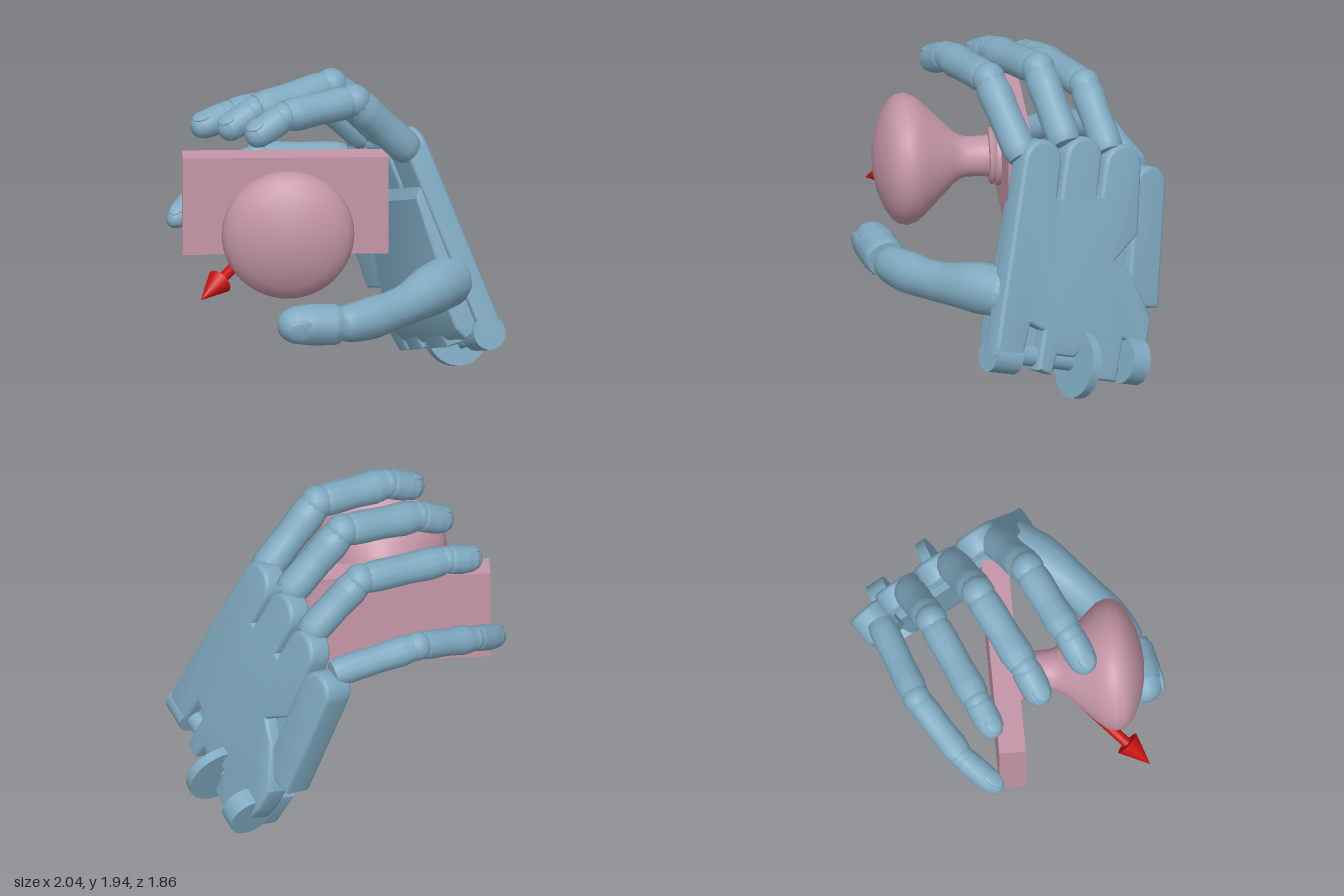
import * as THREE from 'three';
import { toCreasedNormals } from 'three/addons/utils/BufferGeometryUtils.js';

const blue = new THREE.MeshStandardMaterial({ color: 0x7fa9c0 });
const pink = new THREE.MeshStandardMaterial({ color: 0xc495a6 });
const red = new THREE.MeshStandardMaterial({ color: 0xc81010 });
const V3 = (p) => new THREE.Vector3(...p);

function add(parent, name, geometry, material, pos = [0, 0, 0]) {
  const mesh = new THREE.Mesh(geometry, material);
  mesh.name = name;
  mesh.position.set(...pos);
  parent.add(mesh);
  return mesh;
}

// Rounded limb along a path, its radius following a list of [t, radius]
function limbGeometry(points, profile, rings = 28, sides = 12) {
  const path = points.length > 2 ? new THREE.CatmullRomCurve3(points.map(V3))
    : new THREE.LineCurve3(V3(points[0]), V3(points[1]));
  const geo = new THREE.TubeGeometry(path, rings, 1, sides);
  const pos = geo.attributes.position, v = new THREE.Vector3();
  for (let i = 0; i <= rings; i++) {
    const t = i / rings, c = path.getPointAt(t);
    let k = 1;
    while (k < profile.length - 1 && profile[k][0] < t) k++;
    const [t0, r0] = profile[k - 1], [t1, r1] = profile[k];
    const r = THREE.MathUtils.lerp(r0, r1, (t - t0) / (t1 - t0));
    for (let j = 0; j <= sides; j++) {
      const n = i * (sides + 1) + j;
      v.fromBufferAttribute(pos, n).sub(c).multiplyScalar(r).add(c);
      pos.setXYZ(n, v.x, v.y, v.z);
    }
  }
  geo.deleteAttribute('uv');
  return toCreasedNormals(geo, 0.6);
}

// Phalanx with full ends; a fingertip closes in a round end
function phalanx(parent, name, a, b, r, tip = false) {
  const ends = tip
    ? [[0, 0], [0.036, r * 0.9], [0.12, r], [0.5, r], [0.75, r * 0.9], [0.9, r * 0.66], [0.965, r * 0.42], [1, 0]]
    : [[0, 0], [0.036, r * 0.85], [0.12, r * 0.98], [0.25, r], [0.55, r * 0.96], [0.82, r * 1.03], [0.965, r * 0.92], [1, 0]];
  return add(parent, name, limbGeometry([a, b], ends), blue);
}

// Nail lying on a fingertip, on the side given by "up"
function nail(parent, a, b, r, up) {
  const y = V3(b).sub(V3(a)), len = y.length();
  y.normalize();
  const z = V3(up).addScaledVector(y, -V3(up).dot(y)).normalize();
  const mesh = add(parent, 'nail', new THREE.SphereGeometry(1, 14, 8), blue);
  mesh.scale.set(r * 0.6, len * 0.25, r * 0.2);
  mesh.quaternion.setFromRotationMatrix(new THREE.Matrix4().makeBasis(y.clone().cross(z), y, z));
  mesh.position.copy(V3(a)).addScaledVector(y, len * 0.66).addScaledVector(z, r * 0.76);
}

function slab(points, depth, bevel) {
  const shape = points instanceof THREE.Shape ? points
    : new THREE.Shape(points.map((p) => new THREE.Vector2(...p)));
  return toCreasedNormals(new THREE.ExtrudeGeometry(shape, {
    depth: depth - 2 * bevel, bevelThickness: bevel, bevelSize: bevel,
    bevelOffset: -bevel, bevelSegments: 3, curveSegments: 10,
  }).translate(0, 0, bevel), 0.6);
}

// Palm in its own frame: x across to the little finger, y to the fingers, z out of the back
function buildPalm() {
  const palm = new THREE.Group();
  palm.name = 'palm';
  const across = V3([-0.39, -0.31, -0.86]).normalize();
  const up = V3([-0.36, 0.92, -0.15]);
  up.addScaledVector(across, -up.dot(across)).normalize();
  const m = new THREE.Matrix4().makeBasis(across, up, across.clone().cross(up));
  m.setPosition(1.0, 0.3, 0.08);
  m.decompose(palm.position, palm.quaternion, palm.scale);
  const disc = (name, [x, y, z], r, w) =>
    add(palm, name, new THREE.CylinderGeometry(r, r, w, 32).rotateZ(Math.PI / 2), blue, [x, y, z]);

  // Back plate with three rounded knuckle tabs and a notched wrist
  const s = new THREE.Shape();
  s.moveTo(-0.08, 0.08);
  s.lineTo(-0.06, 1.1);
  const tabs = [[0.08, 0.135, 1.27, 1.07], [0.37, 0.13, 1.32, 1.11], [0.66, 0.13, 1.3, 0.9]];
  tabs.forEach(([c, r, top, gap], i) => {
    s.lineTo(c - r, top);
    s.absarc(c, top, r, Math.PI, 0, true);
    s.lineTo(c + r + (i === 2 ? 0.04 : 0), gap);
    if (i < 2) s.lineTo(tabs[i + 1][0] - tabs[i + 1][1], gap);
  });
  [[0.69, 0.73], [0.82, 0.66], [1.0, 0.41], [1.0, 0.26], [0.97, 0.14], [0.95, 0.24], [0.82, 0.26], [0.81, 0],
    [0.61, 0], [0.6, 0.16], [0.52, 0.16], [0.49, 0.12], [0.36, 0.12], [0.34, 0.0], [0.24, 0.02], [0.24, 0.26], [0.14, 0.29], [0.12, 0.08]]
    .forEach((p) => s.lineTo(...p));
  add(palm, 'backPlate', slab(s, 0.15, 0.025), blue, [0, 0, -0.15]);

  // Inner palm, thickest at the wrist
  const inner = slab([[0.08, 0.12], [0.24, 0.1], [0.28, 0.18], [0.28, 0.36], [0.23, 0.6], [0.2, 1.0], [0.08, 1.14]], 0.9, 0.02);
  add(palm, 'innerPalm', inner.rotateY(Math.PI / 2), blue, [-0.04, 0, 0]);
  // Wrist blocks between the hinge discs
  [[0.24, 0.28], [0.61, 0.2], [0.82, 0.14]].forEach(([x, w]) =>
    add(palm, 'wristBlock', slab([[0.08, 0.04], [0.25, 0.06], [0.28, 0.3], [0.08, 0.3]], w, 0.015).rotateY(Math.PI / 2), blue, [x, 0, 0]));

  // Little-finger metacarpal
  const little = new THREE.Shape();
  little.moveTo(-0.12, 0);
  little.lineTo(-0.12, 0.74);
  little.absarc(0, 0.74, 0.12, Math.PI, 0, true);
  little.lineTo(0.12, 0);
  const side = add(palm, 'littleMetacarpal', slab(little, 0.2, 0.025), blue, [0.94, 0.46, -0.24]);
  side.rotation.set(0, 0.12, 0.09);

  // Wrist hinge lugs, disc and pin
  disc('thumbSideLug', [0.02, 0.08, -0.1], 0.105, 0.19);
  disc('wristDisc', [0.54, 0.08, -0.04], 0.205, 0.06);
  disc('wristLug', [0.9, 0.135, -0.03], 0.14, 0.12);
  disc('wristPin', [0.45, 0.1, -0.1], 0.065, 0.8);
  // Knuckle pins
  [[0.08, 1.28], [0.37, 1.33], [0.66, 1.31], [0.89, 1.19]].forEach(([x, y]) =>
    disc('knucklePin', [x, y, -0.11], 0.055, 0.2));
  return palm;
}

// Each finger: knuckle, middle joint, end joint, tip, radius
const FINGERS = {
  indexFinger: [[0.45, 1.43, -0.08], [0.1, 1.82, 0.1], [-0.33, 1.79, 0.31], [-0.55, 1.67, 0.42], 0.105],
  middleFinger: [[0.32, 1.45, -0.35], [-0.03, 1.82, -0.21], [-0.5, 1.74, 0.03], [-0.71, 1.62, 0.13], 0.105],
  ringFinger: [[0.21, 1.34, -0.62], [-0.12, 1.66, -0.5], [-0.65, 1.62, -0.27], [-0.87, 1.55, -0.17], 0.1],
  littleFinger: [[0.08, 1.18, -0.8], [-0.46, 1.24, -0.62], [-0.81, 1.11, -0.38], [-1.0, 0.96, -0.15], 0.09],
};

export function createModel() {
  const model = new THREE.Group();
  model.name = 'handAndKnob';

  const hand = new THREE.Group();
  hand.name = 'hand';
  hand.add(buildPalm());
  for (const [name, [a, b, c, d, r]] of Object.entries(FINGERS)) {
    const finger = new THREE.Group();
    finger.name = name;
    phalanx(finger, 'proximalPhalanx', a, b, r);
    phalanx(finger, 'middlePhalanx', b, c, r * 0.97);
    phalanx(finger, 'fingertip', c, d, r * 0.88, true);
    add(finger, 'middleJoint', new THREE.SphereGeometry(r * 0.98, 14, 10), blue, b);
    add(finger, 'endJoint', new THREE.SphereGeometry(r * 0.84, 14, 10), blue, c);
    nail(finger, c, d, r * 0.88, [0.1, 1, 0.1]);
    hand.add(finger);
  }

  // Thumb curving round to the front
  const thumb = new THREE.Group();
  thumb.name = 'thumb';
  const base = [[0.73, 0.66, -0.04], [0.58, 0.66, 0.2], [0.37, 0.62, 0.44], [0.12, 0.6, 0.64], [-0.03, 0.6, 0.72]];
  add(thumb, 'thumbBase', limbGeometry(base, [[0, 0], [0.03, 0.12], [0.1, 0.16], [0.28, 0.155], [0.48, 0.125],
    [0.62, 0.12], [0.76, 0.128], [0.92, 0.115], [0.97, 0.1], [1, 0]], 40, 16), blue);
  const tipA = [0.01, 0.605, 0.71], tipB = [-0.38, 0.63, 0.8];
  phalanx(thumb, 'thumbTip', tipA, tipB, 0.128, true);
  nail(thumb, tipA, tipB, 0.128, [-0.2, -0.1, 1]);
  hand.add(thumb);
  model.add(hand);

  // Mounting plate and turned knob
  add(model, 'mountingPlate', new THREE.BoxGeometry(1.24, 0.61, 0.16), pink, [-0.31, 1.125, -0.08]);
  const profile = [[0, 0], [0.18, 0], [0.18, 0.025], [0.165, 0.035], [0.175, 0.05], [0.165, 0.065], [0.13, 0.07],
    [0.122, 0.1], [0.122, 0.2], [0.132, 0.24], [0.16, 0.28], [0.33, 0.45], [0.38, 0.51], [0.4, 0.57],
    [0.39, 0.62], [0.36, 0.66], [0.3, 0.7], [0.2, 0.74], [0.1, 0.762], [0, 0.77]];
  const knob = new THREE.LatheGeometry(profile.map((p) => new THREE.Vector2(...p)), 56);
  add(model, 'knob', toCreasedNormals(knob, 0.6).rotateX(Math.PI / 2), pink, [-0.31, 1.13, 0]);

  // Direction arrow from the knob
  const arrow = new THREE.Group();
  arrow.name = 'arrow';
  const start = V3([-0.31, 1.13, 0.18]), end = V3([-0.84, 0.78, 0.76]);
  const length = start.distanceTo(end);
  add(arrow, 'arrowShaft', new THREE.CylinderGeometry(0.032, 0.032, length - 0.18, 20), red, [0, (length - 0.18) / 2, 0]);
  add(arrow, 'arrowHead', new THREE.ConeGeometry(0.08, 0.19, 24), red, [0, length - 0.095, 0]);
  arrow.position.copy(start);
  arrow.quaternion.setFromUnitVectors(new THREE.Vector3(0, 1, 0), end.sub(start).normalize());
  model.add(arrow);
  return model;
}
